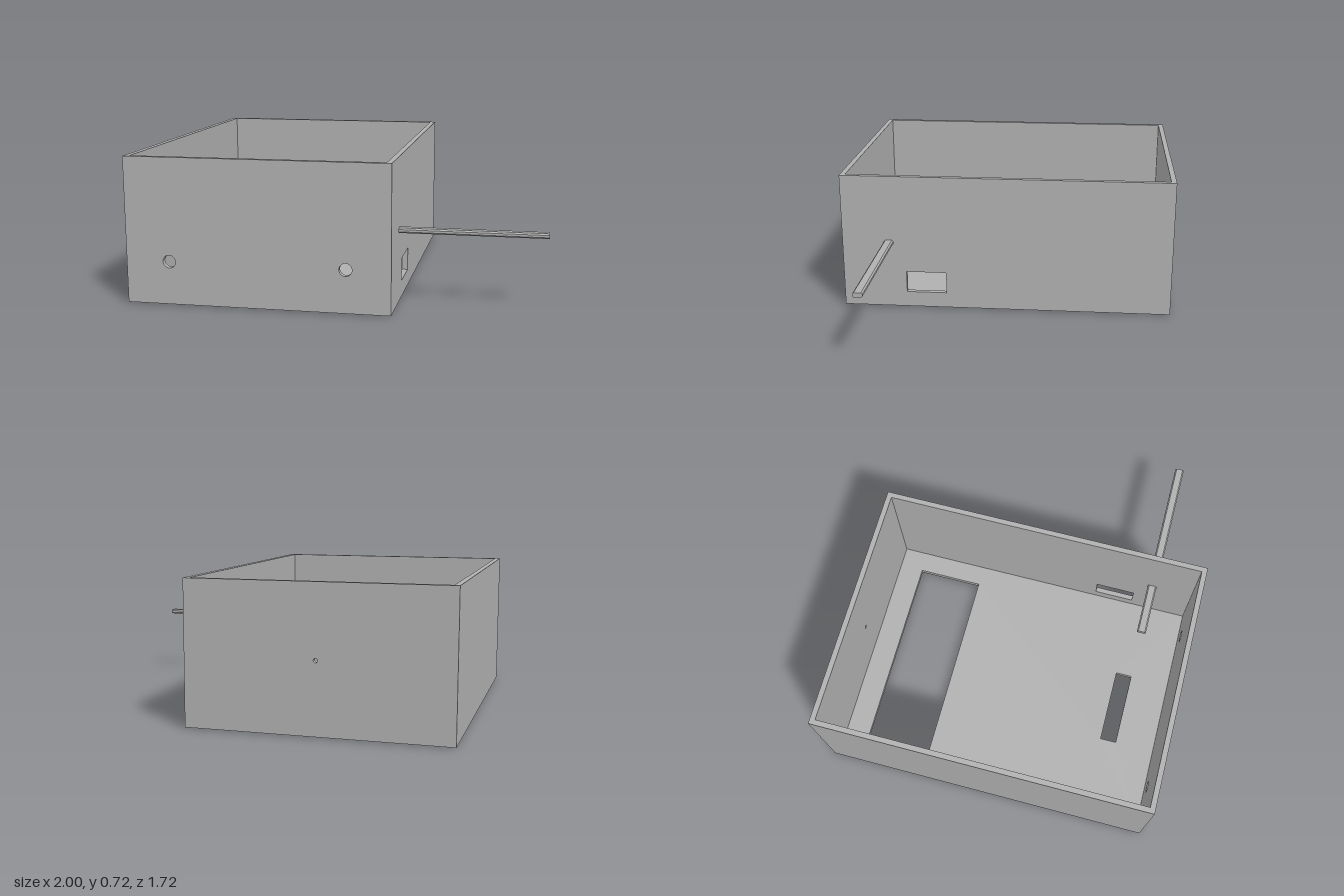
import * as THREE from 'three';

const X0 = -1, X1 = 0.29, Z = 0.86, TOP = 0.72, BASE = 0.005, T = 0.027;
const MID = (X0 + X1) / 2;

// Closed rectangle as a list of points
const rect = (x0, y0, x1, y1) =>
  [[x0, y0], [x1, y0], [x1, y1], [x0, y1]].map(([x, y]) => new THREE.Vector2(x, y));

const circle = (x, y, r) => new THREE.Path().absarc(x, y, r, 0, Math.PI * 2, true);

export function createModel() {
  const group = new THREE.Group();
  const grey = new THREE.MeshStandardMaterial({ color: 0xb0b0b0 });
  grey.name = 'grey plastic';

  function panel(name, outline, holes, depth) {
    const shape = new THREE.Shape(outline);
    shape.holes.push(...holes);
    const geometry = new THREE.ExtrudeGeometry(shape, { depth, bevelEnabled: false, curveSegments: 20 });
    const mesh = new THREE.Mesh(geometry, grey);
    mesh.name = name;
    group.add(mesh);
    return mesh;
  }

  // Floor plate with a large window and a narrow slot, standing just proud of the walls
  const floor = panel('floor', rect(X0 + T, -Z + T, X1 - T, Z - T), [
    new THREE.Path(rect(-0.86, 0.36, 0.155, 0.705)),
    new THREE.Path(rect(-0.555, -0.625, -0.165, -0.54)),
  ], 0.03);
  floor.rotation.x = -Math.PI / 2;

  // Front wall with two round holes, back wall with a pin hole
  const frontWall = panel('frontWall', rect(X0, BASE, X1, TOP),
    [-0.43, 0.43].map((dx) => circle(MID + dx, 0.215, 0.031)), T);
  frontWall.position.z = Z - T;
  const backWall = panel('backWall', rect(X0, BASE, X1, TOP), [circle(MID, 0.36, 0.01)], T);
  backWall.position.z = -Z;

  // Side walls; the left one has a rectangular port
  const port = new THREE.Path(rect(0.315, 0.087, 0.525, 0.2));
  const sides = [['leftWall', X1, [port]], ['rightWall', X0 + T, []]];
  for (const [name, x, holes] of sides) {
    const wall = panel(name, rect(-Z + T, BASE, Z - T, TOP), holes, T);
    wall.rotation.y = -Math.PI / 2;
    wall.position.x = x;
  }

  // Flat rod with chamfered corners passing through the left wall
  const w = 0.024, h = 0.0125, c = 0.007;
  const profile = [[-w + c, -h], [w - c, -h], [w, -h + c], [w, h - c],
    [w - c, h], [-w + c, h], [-w, h - c], [-w, -h + c]].map(([x, y]) => new THREE.Vector2(x, y));
  const rod = panel('rod', profile, [], 1.01);
  rod.rotation.y = -Math.PI / 2;
  rod.position.set(1, 0.362, 0.614);

  return group;
}
